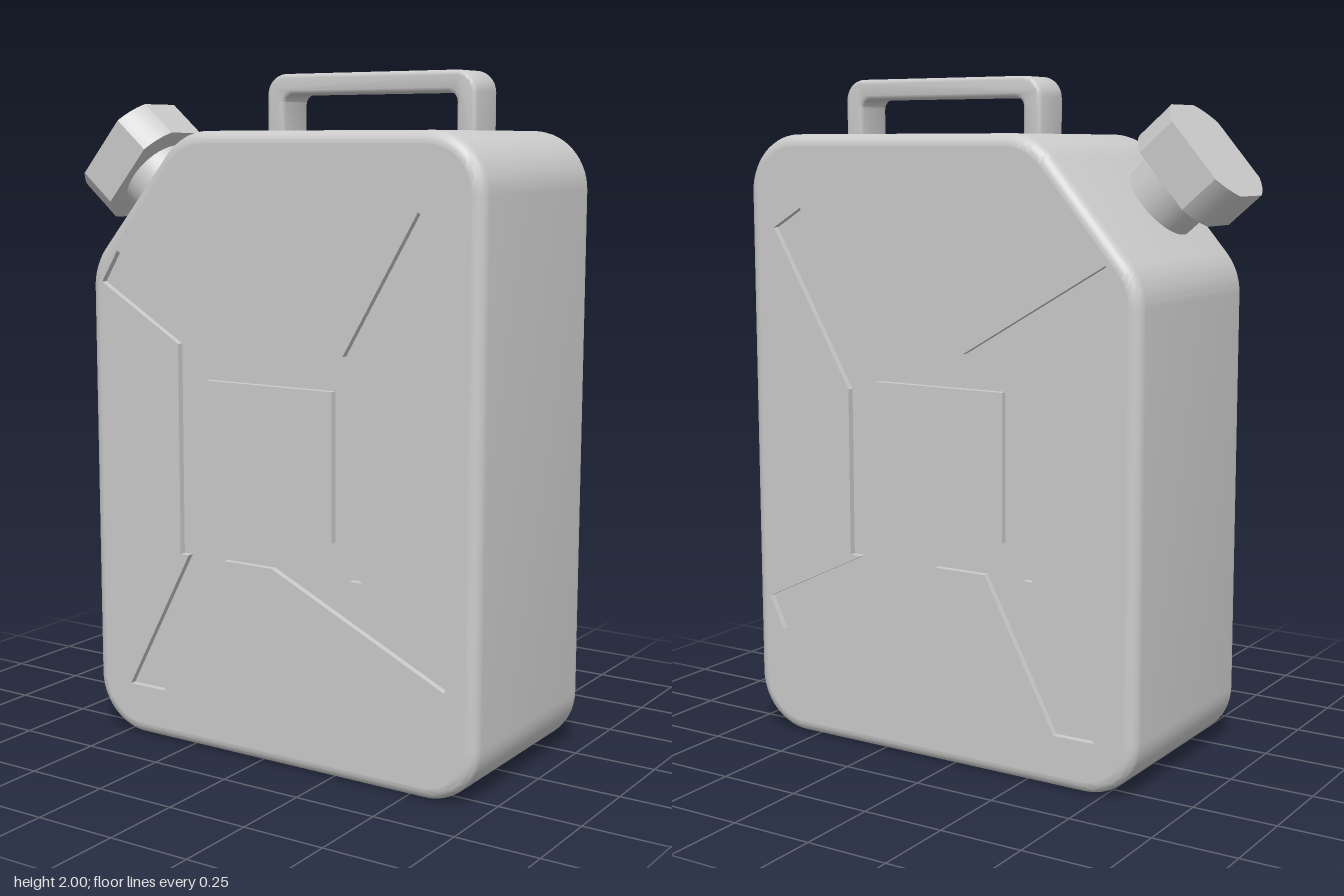
import * as THREE from 'three';
import { toCreasedNormals } from 'three/addons/utils/BufferGeometryUtils.js';

const grey = new THREE.MeshStandardMaterial({ color: 0xcccccc });

const HALF_DEPTH = 0.33;
const EDGE = 0.035;    // rounding of the body's front and back edges
const RECESS = 0.02;   // depth of the pressed cross

function mesh(name, geometry, parent) {
  const m = new THREE.Mesh(geometry, grey);
  m.name = name;
  parent.add(m);
  return m;
}

// Closed shape whose corners [x, y, radius] are rounded with near-circular arcs
function roundedShape(corners) {
  const shape = new THREE.Shape();
  const n = corners.length;
  const point = (i) => new THREE.Vector2(...corners[(i + n) % n].slice(0, 2));
  for (let i = 0; i < n; i++) {
    const p = point(i);
    const r = corners[i][2] || 0;
    const toPrev = point(i - 1).sub(p).normalize();
    const toNext = point(i + 1).sub(p).normalize();
    const turn = Math.PI - Math.acos(toPrev.dot(toNext));
    const reach = r * Math.tan(turn / 2);
    const pull = reach - r * (4 / 3) * Math.tan(turn / 4);
    const a = p.clone().addScaledVector(toPrev, reach);
    const b = p.clone().addScaledVector(toNext, reach);
    if (i === 0) shape.moveTo(a.x, a.y);
    else shape.lineTo(a.x, a.y);
    if (r > 0) {
      const c = p.clone().addScaledVector(toPrev, pull);
      const d = p.clone().addScaledVector(toNext, pull);
      shape.bezierCurveTo(c.x, c.y, d.x, d.y, b.x, b.y);
    }
  }
  shape.closePath();
  return shape;
}

// Outline of the flat front and back, inside the rounded edge
const faceShape = () => roundedShape([
  [-0.575, 0.035, 0.135], [0.685, 0.035, 0.135], [0.685, 1.8, 0.135],
  [-0.256, 1.8, 0.15], [-0.575, 1.427, 0.15],
]);

// Four-armed cross pressed into both faces
const crossPoints = [
  [-0.565, 1.39], [-0.28, 1.22], [-0.28, 0.59], [-0.25, 0.59], [-0.48, 0.155],
  [-0.35, 0.155], [-0.12, 0.59], [0.05, 0.59], [0.62, 0.32], [0.67, 0.42],
  [0.315, 0.59], [0.355, 0.59], [0.355, 1.09], [0.625, 1.56], [0.525, 1.62],
  [0.29, 1.22], [-0.05, 1.22], [-0.505, 1.485],
].map(([x, y]) => new THREE.Vector2(x, y));

// Rounded wall around the can: the sides of a bevelled extrusion without its caps
function wallGeometry() {
  const depth = 2 * (HALF_DEPTH - EDGE);
  const solid = new THREE.ExtrudeGeometry(faceShape(), {
    depth, bevelThickness: EDGE, bevelSize: EDGE, bevelSegments: 6, curveSegments: 14,
  });
  const { start, count } = solid.groups[1];
  const wall = new THREE.BufferGeometry();
  const positions = solid.attributes.position.array.slice(start * 3, (start + count) * 3);
  wall.setAttribute('position', new THREE.BufferAttribute(positions, 3));
  wall.translate(0, 0, -depth / 2);
  return toCreasedNormals(wall, 0.6);
}

// Face plate with the cross cut out, the recess floor and the square pad
function addFace(body, side) {
  const face = new THREE.Group();
  face.name = side > 0 ? 'frontFace' : 'backFace';
  body.add(face);

  const plateShape = faceShape();
  plateShape.holes.push(new THREE.Path(crossPoints));
  const plate = new THREE.ExtrudeGeometry(plateShape, {
    depth: RECESS, bevelEnabled: false, curveSegments: 14,
  });
  const floor = new THREE.ShapeGeometry(new THREE.Shape(crossPoints));
  const pad = new THREE.BoxGeometry(0.435, 0.43, RECESS);
  pad.translate(0.0375, 0.905, RECESS / 2);

  const parts = { facePlate: plate, recessFloor: floor, squarePad: pad };
  for (const [name, geometry] of Object.entries(parts)) {
    const m = mesh(name, geometry, face);
    m.position.z = HALF_DEPTH - RECESS;
  }
  // The back is the front mirrored through the can
  face.scale.z = side;
}

// Carrying handle: a square-cornered hoop with softened edges
function handleGeometry() {
  const b = 0.012;
  const shape = roundedShape([
    [-0.145 + b, 1.82], [-0.085 - b, 1.82],
    [-0.085 - b, 1.94 + b, 0.04], [0.49 + b, 1.94 + b, 0.04],
    [0.49 + b, 1.82], [0.55 - b, 1.82],
    [0.55 - b, 2 - b, 0.05], [-0.145 + b, 2 - b, 0.05],
  ]);
  const depth = 0.13 - 2 * b;
  const g = new THREE.ExtrudeGeometry(shape, {
    depth, bevelThickness: b, bevelSize: b, bevelSegments: 3, curveSegments: 8,
  });
  g.translate(0, 0, -depth / 2);
  return toCreasedNormals(g, 0.6);
}

// Screw cap: a disc with four flats
function capGeometry() {
  const R = 0.181, halfX = 0.167, halfZ = 0.149;
  const a = Math.acos(halfX / R);
  const b = Math.asin(halfZ / R);
  const shape = new THREE.Shape();
  for (const [from, to] of [[a, b], [Math.PI - b, Math.PI - a],
    [Math.PI + a, Math.PI + b], [2 * Math.PI - b, 2 * Math.PI - a]]) {
    shape.absarc(0, 0, R, from, to, false);
  }
  const g = new THREE.ExtrudeGeometry(shape, {
    depth: 0.131, bevelEnabled: false, curveSegments: 8,
  });
  g.rotateX(-Math.PI / 2);
  return toCreasedNormals(g, 0.3);
}

export function createModel() {
  const can = new THREE.Group();
  can.name = 'fuelCan';

  const body = new THREE.Group();
  body.name = 'body';
  can.add(body);
  mesh('bodyWall', wallGeometry(), body);
  addFace(body, 1);
  addFace(body, -1);

  mesh('handle', handleGeometry(), can);

  // Spout on the sloping shoulder, set forward of the middle
  const spout = new THREE.Group();
  spout.name = 'spout';
  spout.position.set(-0.516, 1.704, 0.115);
  spout.rotation.z = 0.864;
  can.add(spout);
  const neck = mesh('neck', new THREE.CylinderGeometry(0.118, 0.118, 0.16, 40), spout);
  neck.position.y = -0.07;
  mesh('cap', capGeometry(), spout);

  return can;
}
